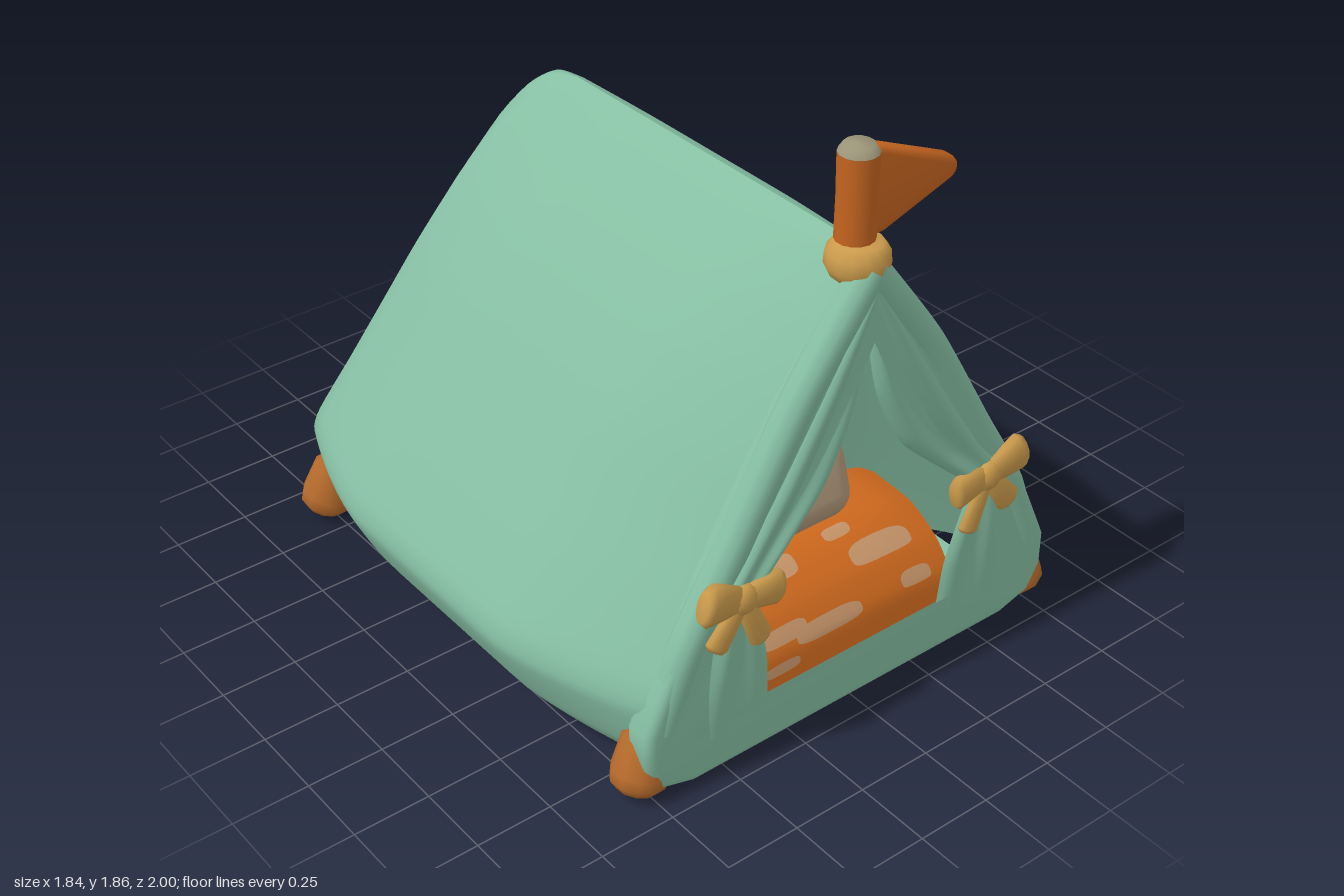
import * as THREE from 'three';
import { toCreasedNormals } from 'three/addons/utils/BufferGeometryUtils.js';
import { RoundedBoxGeometry } from 'three/addons/geometries/RoundedBoxGeometry.js';

const mat = (name, color, side = THREE.FrontSide) => {
  const m = new THREE.MeshStandardMaterial({ color, side });
  m.name = name;
  return m;
};
const V = (x, y, z = 0) => new THREE.Vector3(x, y, z);
const spline = (pts) => new THREE.CatmullRomCurve3(pts.map((p) => V(...p)), false, 'catmullrom', 0.35);

// grid surface from a rule f(u, v) -> [x, y, z]; front side is du x dv
function surf(f, nu, nv) {
  const pos = [], idx = [], n = nu + 1;
  for (let j = 0; j <= nv; j++) for (let i = 0; i <= nu; i++) pos.push(...f(i / nu, j / nv));
  for (let j = 0; j < nv; j++) for (let i = 0; i < nu; i++) {
    const a = j * n + i;
    idx.push(a, a + 1, a + n + 1, a, a + n + 1, a + n);
  }
  const g = new THREE.BufferGeometry();
  g.setAttribute('position', new THREE.Float32BufferAttribute(pos, 3));
  g.setIndex(idx);
  g.computeVertexNormals();
  return g;
}

export function createModel() {
  const group = new THREE.Group();
  const green = mat('canvas green', 0x86bfa3);
  const cloth = mat('cloth green', 0x86bfa3, THREE.DoubleSide);
  cloth.color = green.color;
  const orange = mat('flag orange', 0xc4641f);
  const blanketMat = mat('blanket orange', 0xd06a1e, THREE.DoubleSide);
  const patchMat = mat('patch tan', 0xc8966a, THREE.DoubleSide);
  const brown = mat('foot brown', 0xb56a2b);
  const gold = mat('bow gold', 0xcb9b4c);
  const beige = mat('pillow beige', 0xb0987a);
  const grey = mat('tip grey', 0x9a9478);
  const add = (name, geo, m, parent = group) => {
    const mesh = new THREE.Mesh(geo, m);
    mesh.name = name;
    parent.add(mesh);
    return mesh;
  };

  // tent body: plan outlines stacked by height, each point is half width, y, back z
  const rows = spline([[0, 0.005, -0.74], [0.6, 0.005, -0.76], [0.74, 0.03, -0.83], [0.83, 0.12, -0.9],
    [0.88, 0.21, -0.96], [0.92, 0.31, -0.998], [0.9, 0.4, -0.98], [0.78, 0.6, -0.92], [0.65, 0.8, -0.87],
    [0.52, 1.0, -0.82], [0.37, 1.2, -0.77], [0.22, 1.37, -0.71], [0.12, 1.47, -0.64], [0.05, 1.535, -0.55],
    [0, 1.56, -0.43]]);
  const front = 0.88;
  add('tentBody', surf((u, v) => {
    const r = rows.getPoint(v), h = 1 - Math.abs(2 * u - 1), sign = u <= 0.5 ? 1 : -1;
    const ends = (s) => {
      const k = Math.max(0, (Math.abs(2 * s - 1) - 0.4) / 0.6) ** 1.5;
      return r.x * (1 - k * (s < 0.5 ? 0.13 + 0.14 * r.y : 0.17));
    };
    if (h <= 0.7) {
      const s = h / 0.7;
      return [sign * ends(s), r.y, front + (r.z + 0.1 - front) * s];
    }
    const q = (1 - h) / 0.3;
    return [sign * q * ends(1), r.y, r.z + 0.1 * q ** 3];
  }, 80, 56), green);

  // inside wall and floor
  add('innerWall', surf((u, v) => {
    const a = Math.PI * u, w = 0.72 - 0.65 * v;
    return [w * Math.cos(a), 0.15 + 1.22 * v, 0.88 - 0.55 * (1 - 0.6 * v * v) * Math.sin(a)];
  }, 28, 16), cloth);
  add('floor', new THREE.BoxGeometry(1.2, 0.03, 0.55), green).position.set(0, 0.15, 0.62);

  // front wall with the door opening
  const mirrored = (half) => [...half, ...half.slice().reverse().map(([x, y]) => [-x, y])].map((p) => new THREE.Vector2(...p));
  const wall = new THREE.Shape(mirrored([[0.02, 1.55], [0.13, 1.4], [0.27, 1.2], [0.4, 0.99], [0.56, 0.71],
    [0.7, 0.46], [0.79, 0.26], [0.79, 0.14], [0.74, 0.05], [0.62, 0.015]]));
  wall.holes.push(new THREE.Path(mirrored([[0.01, 1.33], [0.12, 1.1], [0.3, 0.85], [0.45, 0.66], [0.54, 0.45], [0.54, 0.18]])));
  const wallGeo = new THREE.ExtrudeGeometry(wall, { depth: 0.05, bevelSize: 0.03, bevelOffset: -0.03, bevelThickness: 0.03, bevelSegments: 4 });
  add('frontWall', toCreasedNormals(wallGeo, 0.7), green).position.z = 0.86;

  // door sides: rolled rim, tied curtain and bow
  for (const s of [1, -1]) {
    const side = s > 0 ? 'left' : 'right';
    const rim = spline([[0, 1.5, 0.9], [0.24, 1.17, 0.9], [0.46, 0.79, 0.9], [0.63, 0.5, 0.9], [0.72, 0.25, 0.89]].map(([x, y, z]) => [s * x, y, z]));
    add(side + 'Rim', new THREE.TubeGeometry(rim, 28, 0.055, 10), green);

    const curtain = (name, inner, outer, folds, depth) => {
      const a = spline(inner), b = spline(outer);
      add(side + name, surf((u, v) => {
        const p = a.getPoint(v).lerp(b.getPoint(v), u);
        const bulge = Math.sin(Math.PI * u) ** 0.6 * 0.025;
        return [s * p.x, p.y, p.z + bulge + depth * Math.sin(u * Math.PI * 2 * folds) * Math.sin(Math.PI * Math.min(1, v + 0.1) * 0.8)];
      }, 28, 18), cloth);
    };
    curtain('CurtainDrape',
      [[0, 1.32, 0.9], [0.045, 1.08, 0.91], [0.14, 0.88, 0.92], [0.26, 0.76, 0.93], [0.42, 0.62, 0.95]],
      [[0, 1.48, 0.93], [0.16, 1.22, 0.93], [0.32, 0.96, 0.93], [0.45, 0.76, 0.93], [0.55, 0.64, 0.94]], 1.5, 0.012);
    curtain('CurtainHem',
      [[0.43, 0.64, 0.95], [0.39, 0.5, 0.94], [0.35, 0.34, 0.93], [0.335, 0.145, 0.92]],
      [[0.54, 0.64, 0.94], [0.59, 0.5, 0.93], [0.64, 0.33, 0.92], [0.67, 0.145, 0.91]], 2, 0.01);

    const bow = new THREE.Group();
    bow.name = side + 'Bow';
    bow.position.set(s * 0.475, 0.635, 0.965);
    group.add(bow);
    // flared ribbon piece pointing outward at an angle
    const ribbon = (name, angle, len, r0, r1) => {
      const bev = r1 * 0.3;
      const pts = [[0, 0], [r0, 0], [r1 * 0.9, len * 0.6], [r1, len - bev], [r1 * 0.75, len], [0, len]];
      const g = new THREE.LatheGeometry(pts.map((p) => new THREE.Vector2(...p)), 10);
      g.scale(1, 1, 0.5).rotateZ(s * angle);
      add(name, g, gold, bow);
    };
    ribbon('outerLoop', -1.28, 0.15, 0.04, 0.07);
    ribbon('innerLoop', 1.65, 0.14, 0.04, 0.06);
    ribbon('outerTail', -2.5, 0.17, 0.03, 0.045);
    ribbon('innerTail', 2.75, 0.19, 0.03, 0.04);
    add('knot', new THREE.SphereGeometry(0.05, 12, 8).scale(1, 1, 0.65), gold, bow);
  }

  // corner feet
  const footProfile = [[0, -0.1], [0.06, -0.1], [0.085, -0.075], [0.088, -0.04], [0.072, 0.07], [0.05, 0.095], [0, 0.1]]
    .map((p) => new THREE.Vector2(...p));
  for (const sx of [1, -1]) for (const sz of [1, -1]) {
    const foot = add('foot', new THREE.LatheGeometry(footProfile, 10), brown);
    foot.position.set(sx * 0.745, 0.12, sz * 0.85);
    foot.rotation.set(-sz * 0.1, 0, sx * 0.3);
  }

  // flag pole, collar and pennant
  const pz = 0.84;
  const lathe = (pts) => new THREE.LatheGeometry(pts.map((p) => new THREE.Vector2(...p)), 14);
  add('poleCollar', lathe([[0, 1.46], [0.08, 1.465], [0.095, 1.5], [0.092, 1.54], [0.07, 1.57], [0, 1.575]]), gold).position.z = 0.855;
  add('flagPole', lathe([[0.06, 1.52], [0.058, 1.7], [0.06, 1.835]]), orange).position.z = pz;
  add('poleTip', lathe([[0.06, 1.835], [0.045, 1.858], [0, 1.865]]), grey).position.z = pz;
  const flag = new THREE.Shape();
  flag.moveTo(0.02, 1.82);
  flag.lineTo(0.06, 1.82);
  flag.lineTo(0.32, 1.705);
  flag.quadraticCurveTo(0.345, 1.685, 0.32, 1.67);
  flag.lineTo(0.08, 1.59);
  flag.lineTo(0.02, 1.59);
  const flagGeo = new THREE.ExtrudeGeometry(flag, { depth: 0.03, bevelSize: 0.02, bevelThickness: 0.018, bevelSegments: 3 });
  add('flag', toCreasedNormals(flagGeo, 0.7), orange).position.z = pz - 0.015;

  // blanket, its patches and the pillow
  const fold = spline([[0, 0.17, 0.9], [0, 0.27, 0.88], [0, 0.37, 0.81], [0, 0.45, 0.69], [0, 0.48, 0.5]]);
  const blanket = (u, v, lift = 0) => {
    const p = fold.getPoint(v), x = (u - 0.5) * 0.86, e = Math.abs(2 * u - 1) ** 4 * 0.06 * v;
    return [x, p.y - e + lift, p.z + lift];
  };
  add('blanket', surf((u, v) => blanket(u, v), 24, 18), blanketMat);
  for (const [cu, cv, ru, rv] of [[0.35, 0.68, 0.06, 0.06], [0.75, 0.56, 0.14, 0.07], [0.24, 0.35, 0.1, 0.05],
    [0.43, 0.28, 0.15, 0.07], [0.84, 0.3, 0.07, 0.06], [0.2, 0.13, 0.08, 0.04], [0.62, 0.72, 0.06, 0.04]]) {
    add('blanketPatch', surf((u, v) => {
      const a = u * Math.PI * 2, c = Math.cos(a), d = Math.sin(a);
      return blanket(cu + ru * v * Math.sign(c) * Math.abs(c) ** 0.6, cv + rv * v * Math.sign(d) * Math.abs(d) ** 0.6, 0.005);
    }, 24, 4), patchMat);
  }
  const pillowGeo = new RoundedBoxGeometry(0.47, 0.28, 0.2, 5, 0.085);
  const pp = pillowGeo.attributes.position;
  for (let i = 0; i < pp.count; i++) {
    if (pp.getY(i) > 0) pp.setY(i, pp.getY(i) * (1.12 - 4 * pp.getX(i) ** 2));
  }
  pillowGeo.computeVertexNormals();
  const pillow = add('pillow', toCreasedNormals(pillowGeo, 0.9), beige);
  pillow.position.set(0, 0.56, 0.56);
  pillow.rotation.x = -0.3;

  return group;
}
